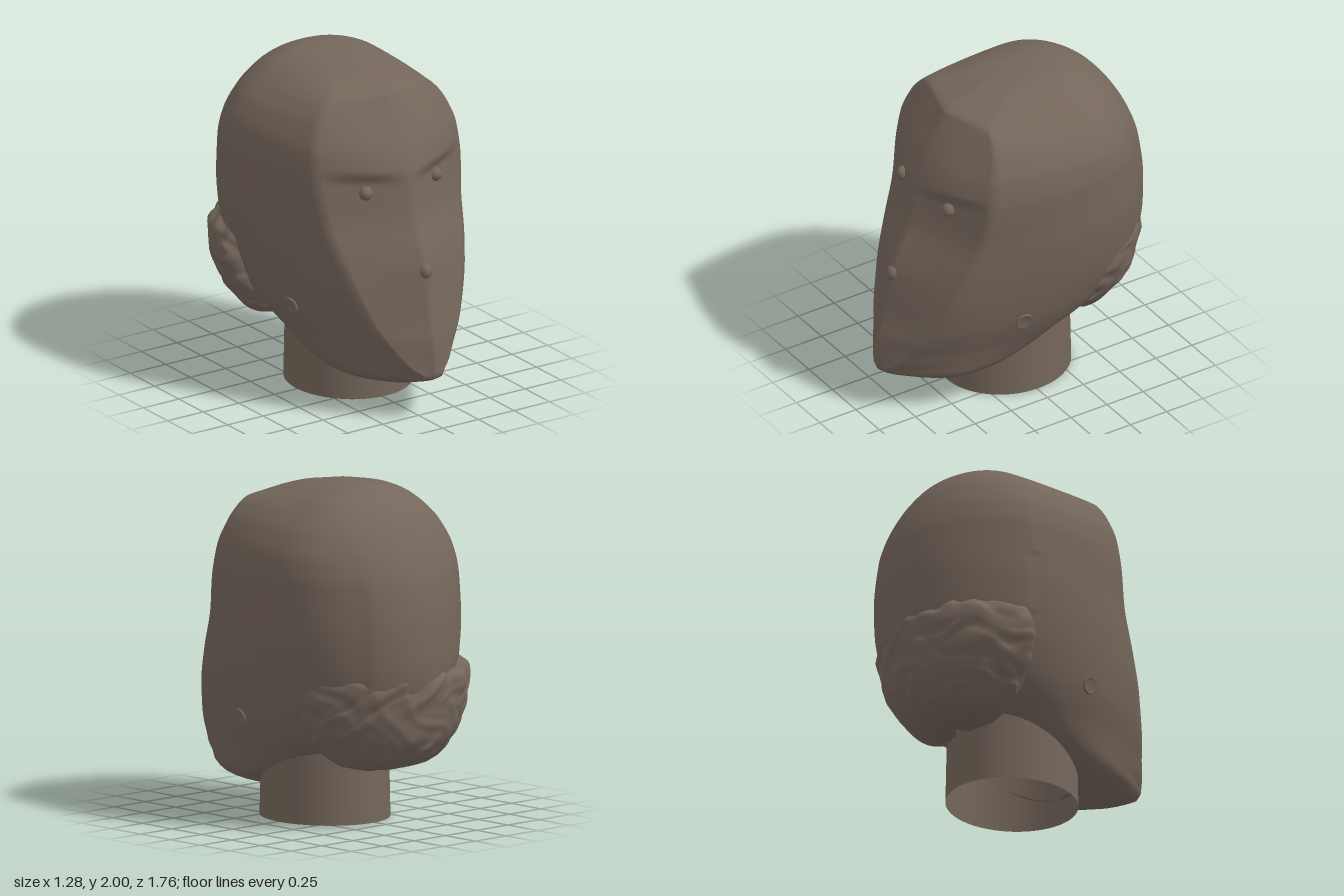
import * as THREE from 'three';

const stone = new THREE.MeshStandardMaterial({ color: 0x74665b, side: THREE.DoubleSide });
stone.name = 'brownStone';
const smooth = THREE.MathUtils.smoothstep;

// Shape-preserving cubic through rows [y, a, b, ...]; returns the columns at height y
function sampleRows(rows, y) {
  let i = 0;
  while (i < rows.length - 2 && y > rows[i + 1][0]) i++;
  const secant = (k, c) => (rows[k + 1][c] - rows[k][c]) / (rows[k + 1][0] - rows[k][0]);
  const slope = (k, c) => {
    if (k === 0) return secant(0, c);
    if (k === rows.length - 1) return secant(k - 1, c);
    const p = secant(k - 1, c), q = secant(k, c);
    return p * q <= 0 ? 0 : (2 * p * q) / (p + q);
  };
  const h = rows[i + 1][0] - rows[i][0];
  const t = (y - rows[i][0]) / h, t2 = t * t, t3 = t2 * t;
  return rows[i].slice(1).map((v, k) => {
    const c = k + 1;
    return v * (2 * t3 - 3 * t2 + 1) + rows[i + 1][c] * (3 * t2 - 2 * t3)
      + h * (slope(i, c) * (t3 - 2 * t2 + t) + slope(i + 1, c) * (t3 - t2));
  });
}

// The neck is hollow, so surfaces crossing its bore are left out
const NECK = { x: 0.025, z: -0.012, r: 0.36, stretch: 1.085 };
const inBore = (p) => p.y < 0.6
  && Math.hypot(p.x - NECK.x, (p.z - NECK.z) / NECK.stretch) < NECK.r - 0.03;

// Skin closed rings (bottom to top, running front > +x > back) and close both ends
function loft(rings) {
  const n = rings[0].length, idx = [];
  const centre = (r) => r.reduce((s, p) => s.add(p), new THREE.Vector3()).divideScalar(n);
  const pts = [...rings.flat(), centre(rings[0]), centre(rings[rings.length - 1])];
  const lo = rings.length * n, hi = lo + 1, top = (rings.length - 1) * n;
  const tri = (...t) => { if (!t.some((i) => inBore(pts[i]))) idx.push(...t); };
  for (let u = 0; u < n; u++) {
    const v = (u + 1) % n;
    for (let r = 0; r < rings.length - 1; r++) {
      const a = r * n + u, b = r * n + v;
      tri(a, b, b + n);
      tri(a, b + n, a + n);
    }
    tri(lo, v, u);
    tri(hi, top + u, top + v);
  }
  const g = new THREE.BufferGeometry().setFromPoints(pts);
  g.setIndex(idx);
  g.computeVertexNormals();
  return g;
}

// Head sections: y, ridge z, face edge x, face edge z, half width, widest z, back z
const HEAD = [
  [0.15, 0.50, 0.08, 0.47, 0.12, 0.42, 0.35],
  [0.18, 0.66, 0.12, 0.60, 0.22, 0.39, 0.20],
  [0.22, 0.79, 0.10, 0.75, 0.31, 0.33, 0.06],
  [0.27, 0.88, 0.06, 0.86, 0.36, 0.25, -0.06],
  [0.33, 0.88, 0.13, 0.82, 0.395, 0.16, -0.20],
  [0.42, 0.875, 0.20, 0.77, 0.44, 0.07, -0.36],
  [0.50, 0.865, 0.255, 0.735, 0.482, 0.01, -0.56],
  [0.60, 0.84, 0.31, 0.69, 0.525, -0.03, -0.72],
  [0.80, 0.808, 0.385, 0.615, 0.58, -0.12, -0.83],
  [0.91, 0.79, 0.415, 0.57, 0.60, -0.15, -0.85],
  [1.00, 0.76, 0.44, 0.53, 0.612, -0.17, -0.856],
  [1.20, 0.675, 0.475, 0.455, 0.627, -0.20, -0.85],
  [1.46, 0.612, 0.505, 0.405, 0.627, -0.22, -0.81],
  [1.60, 0.555, 0.497, 0.38, 0.604, -0.24, -0.765],
  [1.75, 0.475, 0.45, 0.34, 0.527, -0.25, -0.69],
  [1.85, 0.418, 0.38, 0.31, 0.428, -0.26, -0.615],
  [1.88, 0.40, 0.335, 0.30, 0.39, -0.26, -0.585],
  [1.92, 0.29, 0.25, 0.19, 0.332, -0.26, -0.53],
  [1.965, 0.11, 0.16, 0.03, 0.23, -0.27, -0.44],
  [1.99, -0.10, 0.08, -0.14, 0.14, -0.27, -0.37],
  [2.00, -0.26, 0.003, -0.265, 0.004, -0.27, -0.28],
];
const CX = 0.01;

// One half section: flat face plane, curved cheek, elliptical back
function halfSection(y) {
  const [zf, xe, ze, w, zw, zb] = sampleRows(HEAD, y);
  const pts = [];
  for (let i = 0; i < 14; i++) {
    const s = i / 14;
    // Brow ledge rising slightly toward the temples
    const brow = smooth(y, 1.38 + 0.05 * s, 1.47 + 0.05 * s) * (1 - smooth(y, 1.55, 1.92)) * 0.045;
    pts.push([xe * s, zf + (ze - zf) * s + brow * Math.sin(Math.PI * s)]);
  }
  for (let i = 0; i < 16; i++) {
    const t = i / 16, k = 1 - t;
    pts.push([k * k * xe + (1 - k * k) * w, k * k * ze + k * t * (ze + zw) + t * t * zw]);
  }
  for (let i = 0; i <= 24; i++) {
    const a = (i / 24) * Math.PI / 2;
    pts.push([w * Math.cos(a), zw + (zb - zw) * Math.sin(a)]);
  }
  return pts;
}

// The face sits a touch further to +x than the skull
const shiftX = (z) => CX + 0.022 * smooth(z, 0.2, 0.6);

function headGeometry() {
  const rings = [], rows = 130;
  for (let r = 0; r <= rows; r++) {
    const y = 0.15 + 1.85 * (1 - Math.pow(1 - r / rows, 1.5));
    const half = halfSection(y);
    const mirrored = half.slice(1, -1).reverse().map(([x, z]) => [-x, z]);
    const shellFade = 0.012 * smooth(y, 0.55, 0.7) * (1 - smooth(y, 1.4, 1.85));
    rings.push([...half, ...mirrored].map(([x, z]) => {
      // Thin raised shell over the back of the skull
      const shell = z < -0.29 && x < 0.36 ? shellFade : 0;
      const d = Math.hypot(x, z) || 1;
      return new THREE.Vector3(shiftX(z) + x + (x / d) * shell, y, z + (z / d) * shell);
    }));
  }
  return loft(rings);
}

// Hair sections: y, half width, centre z, back z
const HAIR = [
  [0.335, 0.20, -0.48, -0.56],
  [0.36, 0.31, -0.42, -0.65],
  [0.45, 0.42, -0.36, -0.76],
  [0.55, 0.495, -0.34, -0.82],
  [0.65, 0.55, -0.33, -0.845],
  [0.80, 0.592, -0.33, -0.862],
  [0.88, 0.58, -0.34, -0.866],
  [0.97, 0.51, -0.34, -0.82],
];

// Irregular curls from overlapping lumps
function curl(x, y, z) {
  const u = x + 0.05 * Math.sin(17 * y + 9 * z), v = y + 0.05 * Math.sin(15 * x - 8 * z);
  const lumps = Math.sin(26 * u + 1) * Math.sin(31 * v) + Math.sin(29 * z + 2) * Math.sin(24 * v + 14 * u);
  return 0.008 * lumps + 0.005 * Math.sin(47 * u + 20 * z) * Math.sin(53 * v);
}

function hairGeometry() {
  const rings = [], rows = 48, n = 140;
  for (let r = 0; r <= rows; r++) {
    const y = 0.335 + (0.635 * r) / rows;
    const [w, zc, zb] = sampleRows(HAIR, y);
    rings.push(Array.from({ length: n }, (_, i) => {
      const a = (i / n) * Math.PI * 2, c = Math.cos(a), s = Math.sin(a);
      const x = w * s, z = zc + c * (c > 0 ? 0.14 : zc - zb);
      const k = curl(x, y, z);
      return new THREE.Vector3(-0.045 + x + s * k, y + 0.4 * k, z + c * k);
    }));
  }
  return loft(rings);
}

export function createModel() {
  const model = new THREE.Group();
  model.name = 'sculptedHead';
  const add = (name, geometry, x = 0, y = 0, z = 0) => {
    const mesh = new THREE.Mesh(geometry, stone);
    mesh.name = name;
    mesh.position.set(x, y, z);
    model.add(mesh);
    return mesh;
  };

  add('head', headGeometry());
  add('hair', hairGeometry());

  // Open neck
  const neck = add('neck', new THREE.CylinderGeometry(NECK.r - 0.005, NECK.r + 0.005, 0.5, 64, 1, true), NECK.x, 0.25, NECK.z);
  neck.scale.z = NECK.stretch;

  // Eyes and nose tip
  const bead = new THREE.SphereGeometry(0.042, 24, 16);
  add('rightEye', bead, -0.22, 1.36, 0.53);
  add('leftEye', bead, 0.265, 1.375, 0.53);
  const nose = add('noseTip', new THREE.SphereGeometry(0.045, 24, 16), 0.036, 0.895, 0.766);
  nose.scale.set(0.9, 1.1, 0.95);

  // Ear holes: a low rim around a shallow cup
  const cup = new THREE.LatheGeometry([
    [0.056, -0.015], [0.052, 0.007], [0.047, 0.009], [0.04, 0.005], [0.025, 0.003], [0, 0.002],
  ].map(([r, h]) => new THREE.Vector2(r, h)), 32);
  // Find the cheek surface at the hole
  const wall = halfSection(0.61).slice(14, 40);
  const i = wall.findIndex(([, z]) => z < 0.175);
  const [[x0, z0], [x1, z1]] = [wall[i - 1], wall[i]];
  const out = new THREE.Vector3(z0 - z1, -0.25 * (z0 - z1), x1 - x0).normalize();
  for (const side of [1, -1]) {
    const hole = add(side > 0 ? 'leftEarHole' : 'rightEarHole', cup, CX + side * (x0 + x1) / 2, 0.61, 0.175);
    const dir = new THREE.Vector3(side * out.x, out.y, out.z);
    hole.quaternion.setFromUnitVectors(new THREE.Vector3(0, 1, 0), dir);
  }
  return model;
}
